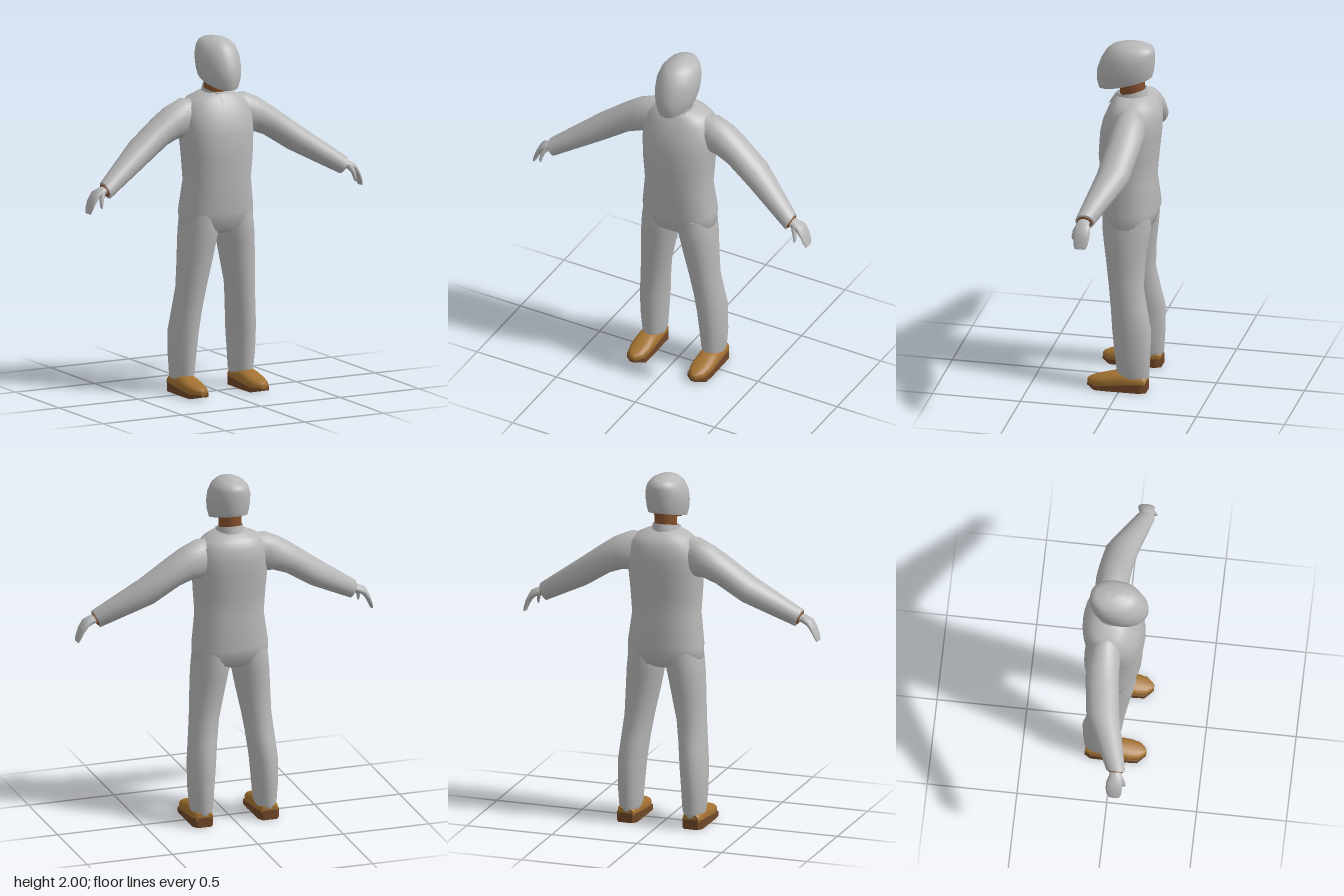
import * as THREE from 'three';

const paint = (name, color) => {
  const m = new THREE.MeshStandardMaterial({ color });
  m.name = name;
  return m;
};

// Cross-section spanned by two half-axes around a centre; n squares it off, pinch narrows its front
const section = (c, u, v, n = 2, pinch = 0) => ({ c, u, v, n, pinch });

// Mostly horizontal section; yb tilts the back edge
const level = (y, x0, x1, zb, zf, yb = y, n = 2, pinch = 0) => section(
  [(x0 + x1) / 2, (y + yb) / 2, (zb + zf) / 2],
  [(x1 - x0) / 2, 0, 0], [0, (y - yb) / 2, (zf - zb) / 2], n, pinch);

// Limb section between a top and a bottom point, with a depth range
const slanted = (tx, ty, bx, by, zb, zf) => section(
  [(tx + bx) / 2, (ty + by) / 2, (zb + zf) / 2],
  [(tx - bx) / 2, (ty - by) / 2, 0], [0, 0, (zf - zb) / 2]);

// Smooth capped skin through the sections; side = -1 mirrors it, winding is made to face outwards
function loft(sections, side = 1, segs = 24, caps = true) {
  const pos = [], idx = [];
  const ring = (s) => {
    const start = pos.length / 3;
    for (let i = 0; i < segs; i++) {
      const t = (i / segs) * Math.PI * 2;
      const pow = (k) => Math.sign(k) * Math.abs(k) ** (2 / s.n);
      const b = pow(Math.sin(t));
      const a = pow(Math.cos(t)) * (1 - s.pinch * Math.max(0, b) ** 2);
      const p = s.c.map((c, k) => c + s.u[k] * a + s.v[k] * b);
      pos.push(p[0] * side, p[1], p[2]);
    }
    return start;
  };
  const rings = sections.map(ring);
  for (let r = 0; r + 1 < rings.length; r++) {
    for (let i = 0; i < segs; i++) {
      const j = (i + 1) % segs, a = rings[r], b = rings[r + 1];
      idx.push(a + i, a + j, b + j, a + i, b + j, b + i);
    }
  }
  if (caps) {
    [sections[0], sections[sections.length - 1]].forEach((s, end) => {
      const a = ring(s), m = pos.length / 3;
      pos.push(s.c[0] * side, s.c[1], s.c[2]);
      for (let i = 0; i < segs; i++) {
        const j = (i + 1) % segs;
        idx.push(m, ...(end ? [a + i, a + j] : [a + j, a + i]));
      }
    });
  }
  const P = (i) => new THREE.Vector3().fromArray(pos, i * 3).sub(new THREE.Vector3().fromArray(pos, 0));
  let volume = 0;
  for (let i = 0; i < idx.length; i += 3) volume += P(idx[i]).dot(P(idx[i + 1]).cross(P(idx[i + 2])));
  if (volume < 0) idx.reverse();
  const g = new THREE.BufferGeometry();
  g.setAttribute('position', new THREE.Float32BufferAttribute(pos, 3));
  g.setIndex(idx);
  g.computeVertexNormals();
  return g;
}

export function createModel() {
  const model = new THREE.Group();
  model.name = 'suitedFigure';
  const suit = paint('suit grey', 0xb8b8b8);
  const collarCloth = paint('collar grey', 0xb8b8b8);
  collarCloth.side = THREE.DoubleSide;
  const skin = paint('skin brown', 0x85512d);
  const leather = paint('boot brown', 0xa37232);
  const soleBrown = paint('sole brown', 0x704728);
  const add = (name, geometry, material) => {
    const mesh = new THREE.Mesh(geometry, material);
    mesh.name = name;
    model.add(mesh);
    return mesh;
  };

  // Torso: half width, back and front at each height
  const torso = [
    [0.905, 0.16, -0.1, 0.075], [0.935, 0.215, -0.15, 0.122], [1.03, 0.214, -0.178, 0.143],
    [1.2, 0.193, -0.157, 0.148], [1.35, 0.203, -0.17, 0.16], [1.47, 0.212, -0.183, 0.152],
    [1.55, 0.21, -0.187, 0.135], [1.62, 0.19, -0.18, 0.105], [1.66, 0.155, -0.152, 0.08],
    [1.69, 0.09, -0.115, 0.058], [1.7, 0.05, -0.08, 0.03],
  ];
  add('torso', loft(torso.map(([y, w, b, f]) => level(y, -w, w, b, f, y, 2.3)), 1, 32), suit);

  // Collar band and its V-shaped front
  add('collar', loft([
    level(1.65, -0.08, 0.08, -0.115, 0.075, 1.67),
    level(1.695, -0.072, 0.072, -0.1, 0.066, 1.735),
  ], 1, 24, false), collarCloth);
  const vee = new THREE.BufferGeometry();
  vee.setAttribute('position', new THREE.Float32BufferAttribute([
    -0.07, 1.695, 0.035, 0, 1.62, 0.116, 0, 1.69, 0.073, 0.07, 1.695, 0.035], 3));
  vee.setIndex([0, 1, 2, 2, 1, 3]);
  vee.computeVertexNormals();
  add('collarFront', vee, collarCloth);

  // Neck, jaw and hood-like helmet
  add('neck', loft([
    level(1.66, -0.06, 0.06, -0.09, 0.045), level(1.84, -0.066, 0.066, -0.095, 0.05),
  ]), skin);
  add('jaw', loft([
    level(1.716, -0.07, 0.07, -0.115, 0.14, 1.797, 2, 0.2),
    level(1.76, -0.085, 0.085, -0.12, 0.15, 1.83, 2, 0.2),
  ]), skin);
  const helmet = [
    [1.722, 0.1, -0.135, 0.165, 1.805], [1.77, 0.11, -0.142, 0.178, 1.83],
    [1.83, 0.116, -0.146, 0.176, 1.87], [1.9, 0.115, -0.148, 0.152, 1.91],
    [1.95, 0.101, -0.147, 0.122, 1.948], [1.978, 0.08, -0.141, 0.088, 1.972],
    [1.995, 0.05, -0.115, 0.045, 1.988], [2, 0.015, -0.06, 0, 1.998],
  ];
  add('helmet', loft(helmet.map(([y, w, b, f, yb]) => level(y, -w, w, b, f, yb, 2.15, 0.15)), 1, 32), suit);

  const arm = [
    [0.08, 1.66, 0.1, 1.45, -0.1, 0.03], [0.2, 1.662, 0.19, 1.44, -0.14, 0.045],
    [0.29, 1.62, 0.235, 1.44, -0.142, 0.045], [0.37, 1.565, 0.315, 1.41, -0.135, 0.05],
    [0.52, 1.453, 0.46, 1.315, -0.115, 0.07], [0.77, 1.265, 0.73, 1.17, 0.025, 0.13],
  ];
  const wrist = [
    [0.74, 1.262, 0.706, 1.19, 0.032, 0.12], [0.772, 1.252, 0.743, 1.183, 0.036, 0.119],
  ];
  const hand = [
    [0.74, 1.248, 0.725, 1.197, 0.045, 0.11], [0.785, 1.238, 0.765, 1.195, 0.045, 0.115],
    [0.825, 1.217, 0.8, 1.183, 0.031, 0.122], [0.85, 1.167, 0.825, 1.155, 0.03, 0.122],
    [0.863, 1.122, 0.846, 1.116, 0.038, 0.118], [0.867, 1.1, 0.855, 1.094, 0.052, 0.108],
  ];
  const thumb = [
    [0.785, 1.23, 0.765, 1.2, 0.085, 0.115], [0.807, 1.185, 0.785, 1.175, 0.1, 0.135],
    [0.81, 1.145, 0.795, 1.14, 0.115, 0.14], [0.805, 1.13, 0.798, 1.128, 0.122, 0.136],
  ];
  // Trouser leg: front height, inner, outer, back, front, back height
  const leg = [
    [1.02, 0.01, 0.205, -0.15, 0.12], [0.94, 0, 0.217, -0.152, 0.122],
    [0.87, 0.015, 0.224, -0.143, 0.113], [0.75, 0.038, 0.23, -0.128, 0.095],
    [0.6, 0.07, 0.236, -0.12, 0.075], [0.48, 0.088, 0.247, -0.143, 0.061],
    [0.35, 0.103, 0.259, -0.17, 0.05], [0.2, 0.115, 0.258, -0.166, 0.034],
    [0.12, 0.122, 0.25, -0.16, 0.025, 0.09], [0.1, 0.13, 0.245, -0.148, 0.022, 0.06],
  ];
  // Boot: depth, half width, middle height, half height
  const boot = [
    [-0.148, 0.046, 0.05, 0.035], [-0.12, 0.056, 0.055, 0.045], [0, 0.059, 0.055, 0.053],
    [0.04, 0.061, 0.05, 0.05], [0.1, 0.06, 0.044, 0.038], [0.15, 0.048, 0.038, 0.03],
    [0.175, 0.027, 0.036, 0.022], [0.187, 0.01, 0.034, 0.014],
  ];
  const outline = [
    [-0.04, -0.152], [0.04, -0.152], [0.06, -0.12], [0.063, 0.07], [0.06, 0.14],
    [0.015, 0.187], [-0.015, 0.187], [-0.06, 0.14], [-0.063, 0.07], [-0.06, -0.12],
  ];

  for (const [label, side] of [['left', 1], ['right', -1]]) {
    const limb = (name, rows, material, make, segs) =>
      add(label + name, loft(rows.map((r) => make(...r)), side, segs), material);
    limb('Sleeve', arm, suit, slanted);
    limb('Wrist', wrist, skin, slanted);
    limb('Hand', hand, suit, slanted, 16);
    limb('Thumb', thumb, suit, slanted, 10);
    limb('TrouserLeg', leg, suit, level);
    limb('Boot', boot, leather, (z, w, y, h) => section([0.192, y, z], [w, 0, 0], [0, h, 0], 2.4), 20);

    // Sole, thicker towards the heel
    const shape = new THREE.Shape(outline.map(([x, z]) => new THREE.Vector2(x, -z)));
    const sole = new THREE.ExtrudeGeometry(shape, { depth: 1, bevelEnabled: false });
    sole.rotateX(-Math.PI / 2);
    const p = sole.attributes.position;
    for (let i = 0; i < p.count; i++) {
      const t = THREE.MathUtils.clamp((p.getZ(i) + 0.152) / 0.3, 0, 1);
      p.setY(i, p.getY(i) > 0.5 ? 0.055 - 0.03 * t : p.getZ(i) > 0.16 ? 0.012 : 0);
    }
    sole.translate(0.192 * side, 0, 0);
    sole.computeVertexNormals();
    add(label + 'Sole', sole, soleBrown);
  }
  return model;
}
